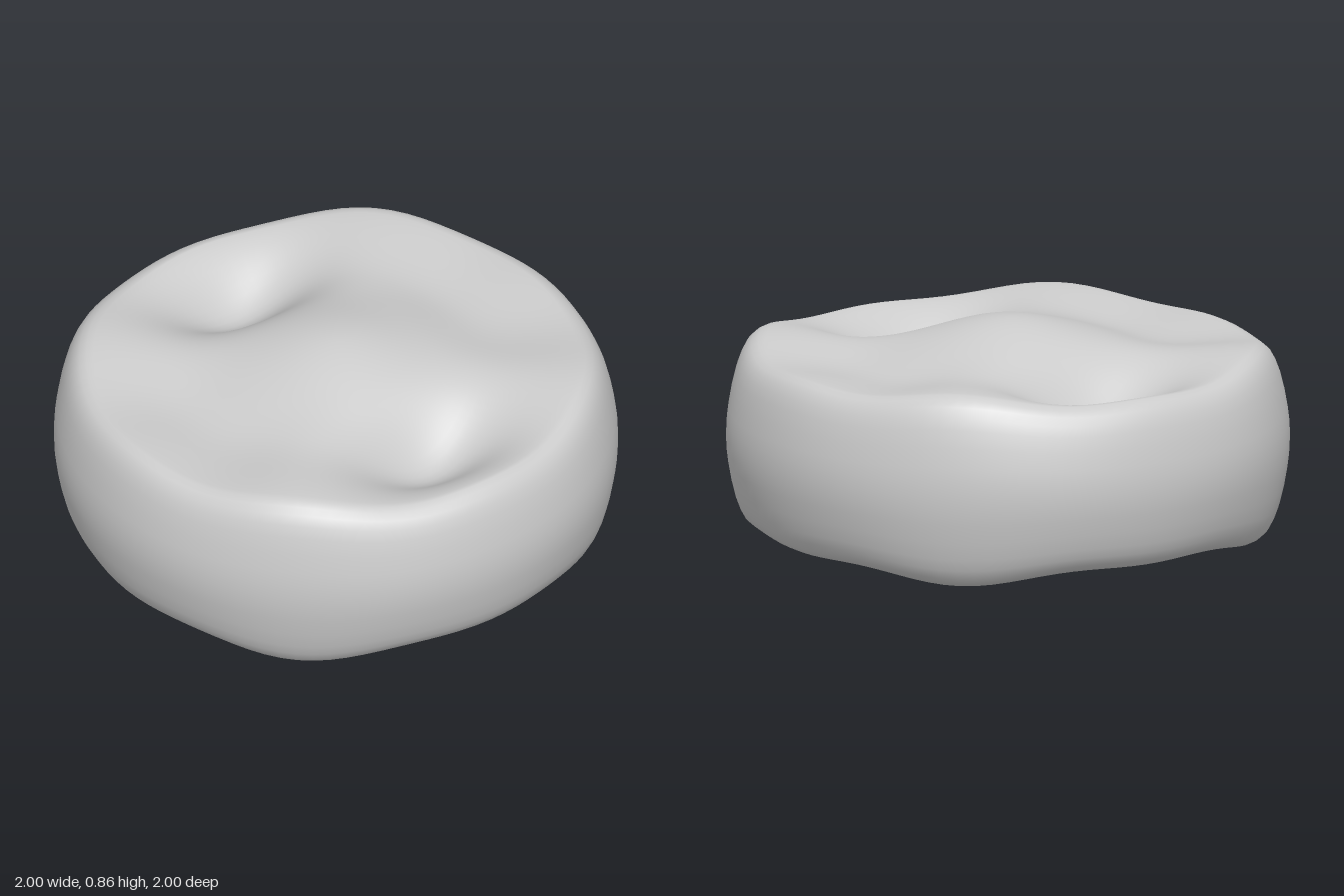
import * as THREE from 'three';

const SEGMENTS = 96, TOP_RINGS = 26, MID = 0.43, LIP = 0.86;

// Half thickness of the disc: central swelling, wavy lip, hollows on the diagonals
function halfThickness(r, a) {
  const x = r * Math.cos(a), z = r * Math.sin(a);
  const diagonal = Math.sin(2 * a) ** 2;
  let h = 0.33 + 0.1 * Math.exp(-((r / 0.32) ** 2)) + 0.02 * THREE.MathUtils.smoothstep(r, 0.5, 0.85);
  h -= THREE.MathUtils.smoothstep(r, 0.3, 0.85) * (0.03 * diagonal + 0.02 * Math.sin(4 * a) ** 2);
  const along = (x + z) * Math.SQRT1_2, across = (x - z) * Math.SQRT1_2;
  const hollow = (p, q) => Math.exp(-(((Math.abs(p) - 0.57) / 0.19) ** 2) - (q / 0.27) ** 2);
  return h - 0.17 * hollow(along, across) - 0.03 * hollow(across, along);
}

// Rounded outer wall: radius and share of the lip's half thickness
const WALL = [[0.885, 0.995], [0.91, 0.96], [0.932, 0.9], [0.95, 0.8], [0.965, 0.68],
  [0.98, 0.5], [0.992, 0.3], [0.998, 0.15], [1, 0]];

function buildBody() {
  const rings = [];
  for (let i = 1; i <= TOP_RINGS; i++) {
    const r = LIP * i / TOP_RINGS;
    rings.push(a => [r, halfThickness(r, a)]);
  }
  for (const [r, k] of WALL) {
    rings.push(a => [r * (1 - 0.012 * Math.sin(2 * a) ** 2), k * halfThickness(LIP, a)]);
  }
  // The underside mirrors the top
  const upper = rings.length;
  for (let i = upper - 2; i >= 0; i--) {
    rings.push(a => { const [r, h] = rings[i](a); return [r, -h]; });
  }

  const centre = halfThickness(0, 0);
  const positions = [0, MID + centre, 0], indices = [];
  for (const ring of rings) {
    for (let s = 0; s < SEGMENTS; s++) {
      const a = s / SEGMENTS * Math.PI * 2, [r, h] = ring(a);
      positions.push(r * Math.cos(a), MID + h, r * Math.sin(a));
    }
  }
  positions.push(0, MID - centre, 0);

  const id = (ring, s) => 1 + ring * SEGMENTS + s % SEGMENTS;
  const last = rings.length - 1, bottom = 1 + rings.length * SEGMENTS;
  for (let s = 0; s < SEGMENTS; s++) {
    indices.push(0, id(0, s + 1), id(0, s));
    for (let j = 0; j < last; j++) {
      const a = id(j, s), b = id(j, s + 1), c = id(j + 1, s + 1), d = id(j + 1, s);
      indices.push(a, b, c, a, c, d);
    }
    indices.push(bottom, id(last, s), id(last, s + 1));
  }
  const geometry = new THREE.BufferGeometry();
  geometry.setAttribute('position', new THREE.Float32BufferAttribute(positions, 3));
  geometry.setIndex(indices);
  geometry.computeVertexNormals();
  return geometry;
}

export function createModel() {
  const group = new THREE.Group();
  group.name = 'dimpledDisc';
  const body = new THREE.Mesh(buildBody(), new THREE.MeshStandardMaterial({ color: 0xcccccc }));
  body.name = 'discBody';
  group.add(body);
  return group;
}
